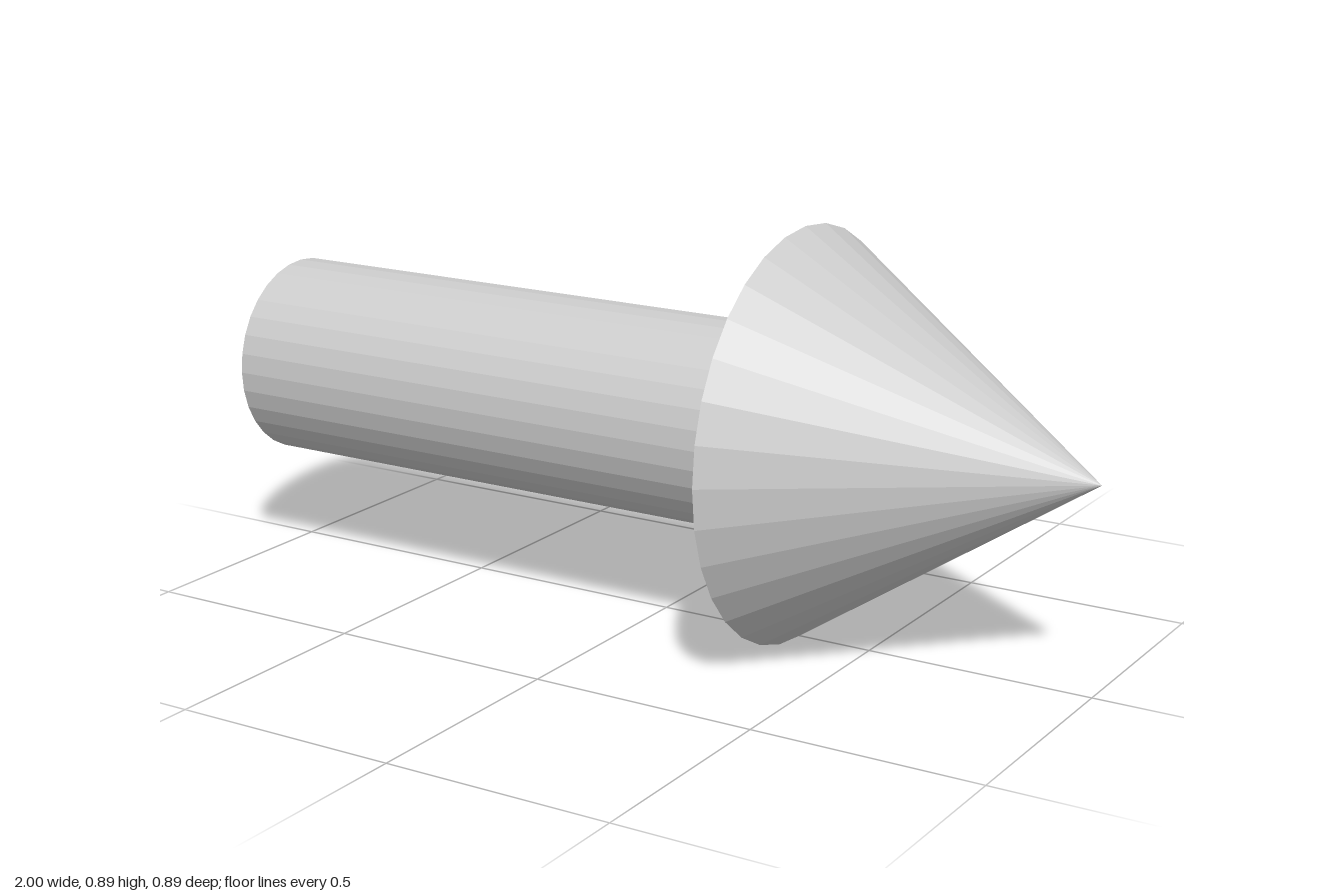
import * as THREE from 'three';

const SIDES = 32;
const HEAD_RADIUS = 4 / 9;
const SHAFT_RADIUS = 2 / 9;
const NECK_X = 1 / 3; // where the shaft meets the head

export function createModel() {
  const group = new THREE.Group();
  group.name = 'arrow';
  const material = new THREE.MeshStandardMaterial({ color: 0xcccccc, flatShading: true });

  // Places a part whose axis runs along +x from x0 to x1
  const addPart = (name, geometry, x0, x1) => {
    geometry.rotateZ(-Math.PI / 2);
    const mesh = new THREE.Mesh(geometry, material);
    mesh.name = name;
    mesh.position.set((x0 + x1) / 2, HEAD_RADIUS, 0);
    group.add(mesh);
  };

  // Round shaft
  addPart('shaft', new THREE.CylinderGeometry(SHAFT_RADIUS, SHAFT_RADIUS, NECK_X + 1, SIDES), -1, NECK_X);

  // Conical head with a flat back
  addPart('head', new THREE.ConeGeometry(HEAD_RADIUS, 1 - NECK_X, SIDES), NECK_X, 1);

  return group;
}
